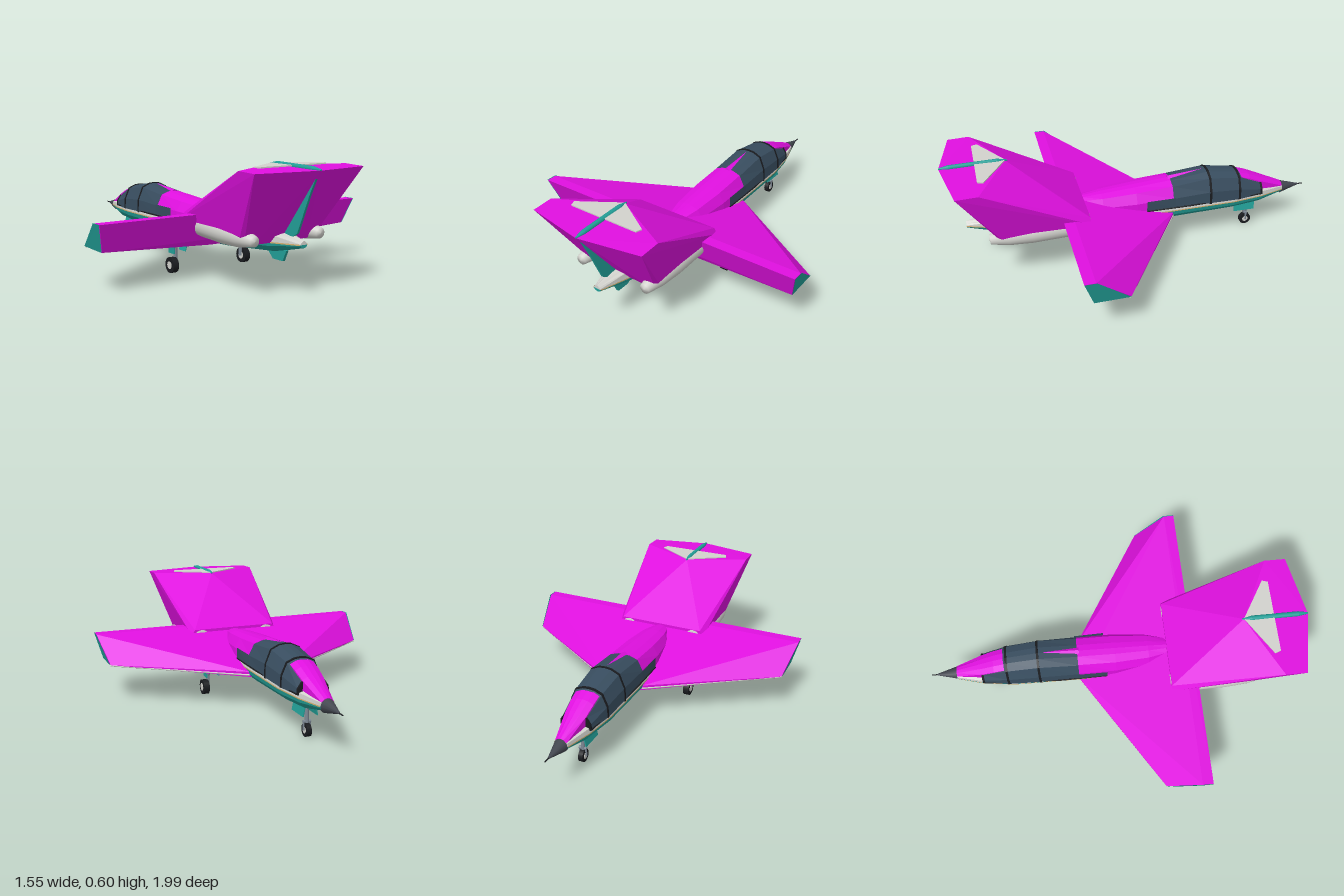
import * as THREE from 'three';
import { ConvexGeometry } from 'three/addons/geometries/ConvexGeometry.js';

const paint = (name, color) => {
  const m = new THREE.MeshStandardMaterial({ color, side: THREE.DoubleSide });
  m.name = name;
  return m;
};

export function createModel() {
  const model = new THREE.Group();
  model.name = 'jetAircraft';
  const magenta = paint('magenta', 0xe010e0), teal = paint('teal', 0x22a098), grey = paint('lightGrey', 0xd2d2cd);
  const glass = paint('glass', 0x384d5f), black = paint('black', 0x1a1c20), slate = paint('slate', 0x434750);
  const gold = paint('gold', 0xd6b070), steel = paint('steel', 0x7d8894);
  const V = (x, y, z) => new THREE.Vector3(x, y, z);

  const add = (name, geo, mat, x = 0, y = 0, z = 0) => {
    const m = new THREE.Mesh(geo, mat);
    m.name = name;
    m.position.set(x, y, z);
    model.add(m);
    return m;
  };
  // Flat-shaded skin between rows of points, with optional end caps
  const skin = (rows, caps = true) => {
    const p = [], tri = (...t) => t.forEach(v => p.push(v.x, v.y, v.z));
    for (let i = 0; i + 1 < rows.length; i++)
      for (let j = 0; j + 1 < rows[i].length; j++) {
        const a = rows[i][j], b = rows[i][j + 1], c = rows[i + 1][j + 1], d = rows[i + 1][j];
        tri(a, b, c);
        tri(a, c, d);
      }
    if (caps) {
      const f = rows[0], l = rows[rows.length - 1];
      for (let j = 1; j + 1 < f.length; j++) {
        tri(f[0], f[j + 1], f[j]);
        tri(l[0], l[j], l[j + 1]);
      }
    }
    const g = new THREE.BufferGeometry();
    g.setAttribute('position', new THREE.Float32BufferAttribute(p, 3));
    g.computeVertexNormals();
    return g;
  };
  // Mirrors a half section, given from +x edge to the centre line
  const section = (half, z) => [
    ...half.map(([x, y]) => V(x, y, z)),
    ...half.slice(0, -1).reverse().map(([x, y]) => V(-x, y, z)),
  ];
  const rod = (name, a, b, r, mat, r2 = r, sides = 8) => {
    const d = b.clone().sub(a);
    const m = add(name, new THREE.CylinderGeometry(r2, r, d.length(), sides), mat);
    m.position.copy(a).addScaledVector(d, 0.5);
    m.quaternion.setFromUnitVectors(V(0, 1, 0), d.normalize());
    return m;
  };
  // Convex solid from half its corners
  const hull = (name, pts, mat) =>
    add(name, new ConvexGeometry(pts.flatMap(([x, y, z]) => [V(x, y, z), V(-x, y, z)])), mat);
  const quad = (name, s, pts, mat) => {
    const [a, b, c, d] = pts.map(([x, y, z]) => V(x * s, y, z));
    return add(name, skin([[a, b], [d, c]], false), mat);
  };

  // Fuselage stations: z, half width, keel, waist, band top
  const body = [
    [-0.86, 0.035, 0.19, 0.215, 0.24], [-0.72, 0.075, 0.157, 0.216, 0.25],
    [-0.55, 0.1, 0.147, 0.218, 0.25], [-0.2, 0.108, 0.14, 0.22, 0.25],
    [0.1, 0.112, 0.143, 0.22, 0.26], [0.4, 0.1, 0.155, 0.225, 0.27],
    [0.7, 0.07, 0.183, 0.235, 0.285], [0.89, 0.02, 0.23, 0.245, 0.257],
  ];
  add('belly', skin(body.map(([z, w, k, y]) =>
    section([[w, y], [w * 0.94, y - (y - k) * 0.35], [w * 0.55, k + (y - k) * 0.15], [0, k]], z))), teal);
  add('fuselageBand', skin(body.map(([z, w, k, y, t]) =>
    section([[w, y], [w * 0.96, t - 0.008], [w * 0.6, t], [0, t + 0.008]], z))), grey);
  for (const s of [1, -1])
    add('pinstripe', skin(body.map(([z, w, k, y]) =>
      [V(s * (w + 0.002), y - 0.003, z), V(s * (w + 0.002), y + 0.003, z)]), false), gold);

  // Nose cone and probe
  rod('noseCone', V(0, 0.214, -0.855), V(0, 0.214, -0.97), 0.036, slate, 0.004, 12);
  rod('noseProbe', V(0, 0.214, -0.96), V(0, 0.214, -1), 0.003, black);

  // Canopy, its frames and the raised spine
  const dome = (w, base, top) => [[w, base], [w * 0.97, base + (top - base) * 0.42],
    [w * 0.7, base + (top - base) * 0.86], [w * 0.3, top - 0.003], [0, top]];
  add('canopy', skin([[-0.715, 0.079, 0.23, 0.3], [-0.58, 0.1, 0.23, 0.368], [-0.41, 0.108, 0.235, 0.394],
    [-0.2, 0.11, 0.24, 0.369]].map(([z, w, b, t]) => section(dome(w, b, t), z))), glass);
  for (const [z, w, t] of [[-0.715, 0.081, 0.302], [-0.58, 0.102, 0.371], [-0.41, 0.11, 0.397]])
    add('canopyFrame', skin([-0.006, 0.006].map(d => section(dome(w, 0.23, t), z + d))), black);
  for (const s of [1, -1]) {
    rod('canopySill', V(s * 0.081, 0.234, -0.715), V(s * 0.111, 0.24, -0.3), 0.004, black);
    rod('canopySill', V(s * 0.111, 0.24, -0.3), V(s * 0.112, 0.242, -0.05), 0.004, black);
    quad('rearSidePane', s, [[0.112, 0.24, -0.21], [0.112, 0.24, -0.05], [0.113, 0.3, -0.05], [0.111, 0.3, -0.21]], glass);
  }
  add('noseRidge', skin([[-0.86, 0.03, 0.23, 0.25], [-0.715, 0.055, 0.25, 0.314], [-0.65, 0.06, 0.27, 0.343],
    [-0.59, 0.062, 0.27, 0.362]].map(([z, w, b, t]) => section([[w, b], [w, t - 0.016], [w * 0.5, t - 0.003], [0, t]], z))), magenta);
  add('spine', skin([[-0.2, 0.107, 0.24, 0.371], [0, 0.108, 0.24, 0.355], [0.18, 0.09, 0.24, 0.34],
    [0.28, 0.06, 0.24, 0.328]].map(([z, w, b, t]) => section(dome(w, b, t), z))), magenta);
  add('spineTip', new ConvexGeometry([V(-0.018, 0.368, -0.19), V(0.018, 0.368, -0.19), V(0, 0.379, -0.19), V(0, 0.396, -0.39)]), magenta);

  // Deep wedge wing
  hull('wing', [[0.1, 0.205, -0.2], [0.1, 0.178, -0.2], [0.13, 0.168, 0.05], [0.13, 0.17, 0.35],
    [0.735, 0.207, 0.195], [0.735, 0.203, 0.37], [0.77, 0.34, 0.365], [0.77, 0.34, 0.42]], magenta);
  for (const s of [1, -1]) {
    quad('winglet', s, [[0.738, 0.205, 0.195], [0.738, 0.203, 0.372], [0.773, 0.341, 0.42], [0.773, 0.341, 0.36]], teal);
    quad('wingUnderPanel', s, [[0.16, 0.166, 0.03], [0.16, 0.166, 0.27], [0.73, 0.199, 0.365], [0.73, 0.199, 0.23]], grey);
    rod('leadingEdge', V(s * 0.1, 0.188, -0.198), V(s * 0.733, 0.203, 0.2), 0.005, grey);
  }

  // Wedge tail block with flat top
  hull('tailBlock', [[0.235, 0.335, 0.28], [0.255, 0.305, 0.28], [0.2, 0.295, 0.28], [0.315, 0.587, 0.82],
    [0.315, 0.583, 0.93], [0, 0.585, 0.99], [0, 0.59, 0.66], [0.235, 0.28, 0.73], [0.21, 0.25, 0.73], [0.16, 0.235, 0.73]], magenta);
  const plan = new THREE.Shape([[0, 0.66], [0.2, 0.785], [0.19, 0.815], [-0.19, 0.815], [-0.2, 0.785]].map(p => new THREE.Vector2(...p)));
  add('tailTopPanel', new THREE.ExtrudeGeometry(plan, { depth: 0.006, bevelEnabled: false }), grey, 0, 0.596).rotation.x = Math.PI / 2;

  // Upright plates on the centre line, outlined by z and y
  const plate = (name, pts, t, mat) => {
    const g = new THREE.ExtrudeGeometry(new THREE.Shape(pts.map(([z, y]) => new THREE.Vector2(-z, y))), { depth: t, bevelEnabled: false });
    add(name, g.rotateY(Math.PI / 2), mat, -t / 2);
  };
  plate('tailFin', [[0.65, 0.55], [0.98, 0.585], [0.925, 0.47], [0.85, 0.29], [0.8, 0.26], [0.65, 0.27]], 0.012, teal);
  plate('ventralFin', [[0.63, 0.2], [0.78, 0.2], [0.755, 0.147], [0.685, 0.147]], 0.014, teal);
  rod('finFairing', V(0, 0.592, 0.7), V(0, 0.588, 0.94), 0.013, teal, 0.013, 10);
  rod('finFairingNose', V(0, 0.592, 0.7), V(0, 0.592, 0.65), 0.013, teal, 0.003, 10);
  rod('finFairingTail', V(0, 0.588, 0.94), V(0, 0.587, 0.99), 0.013, teal, 0.004, 10);

  // Engine nacelles
  const profile = [[0, 0], [0.042, 0], [0.052, 0.01], [0.058, 0.12], [0.056, 0.3], [0.046, 0.42], [0.026, 0.51], [0, 0.515]]
    .map(p => new THREE.Vector2(...p));
  for (const s of [1, -1])
    add('engineNacelle', new THREE.LatheGeometry(profile, 20).rotateX(Math.PI / 2), grey, s * 0.195, 0.288, 0.275).rotation.x = 0.05;

  // Landing gear
  const wheel = (x, y, z, r, w) => {
    add('tyre', new THREE.CylinderGeometry(r, r, w, 18).rotateZ(Math.PI / 2), black, x, y, z);
    add('wheelHub', new THREE.CylinderGeometry(r * 0.5, r * 0.5, w + 0.004, 12).rotateZ(Math.PI / 2), grey, x, y, z);
  };
  wheel(0, 0.034, -0.66, 0.033, 0.024);
  rod('noseStrut', V(0, 0.07, -0.66), V(0, 0.16, -0.655), 0.011, steel);
  for (const s of [1, -1]) {
    rod('noseFork', V(s * 0.017, 0.034, -0.66), V(s * 0.017, 0.08, -0.66), 0.005, steel);
    add('noseGearDoor', new THREE.BoxGeometry(0.005, 0.045, 0.12), teal, s * 0.033, 0.135, -0.637).rotation.z = s * 0.2;
    wheel(s * 0.227, 0.042, 0.15, 0.041, 0.032);
    rod('mainStrut', V(s * 0.208, 0.04, 0.15), V(s * 0.208, 0.19, 0.15), 0.01, steel);
    rod('mainBrace', V(s * 0.208, 0.1, 0.15), V(s * 0.195, 0.18, 0.1), 0.006, steel);
    add('mainGearDoor', new THREE.BoxGeometry(0.005, 0.075, 0.06), teal, s * 0.148, 0.143, 0.14).rotation.z = s * 0.3;
    add('strutDoor', new THREE.BoxGeometry(0.005, 0.08, 0.055), teal, s * 0.225, 0.14, 0.14);
  }
  rod('noseAxle', V(-0.02, 0.076, -0.66), V(0.02, 0.076, -0.66), 0.008, steel);
  return model;
}
